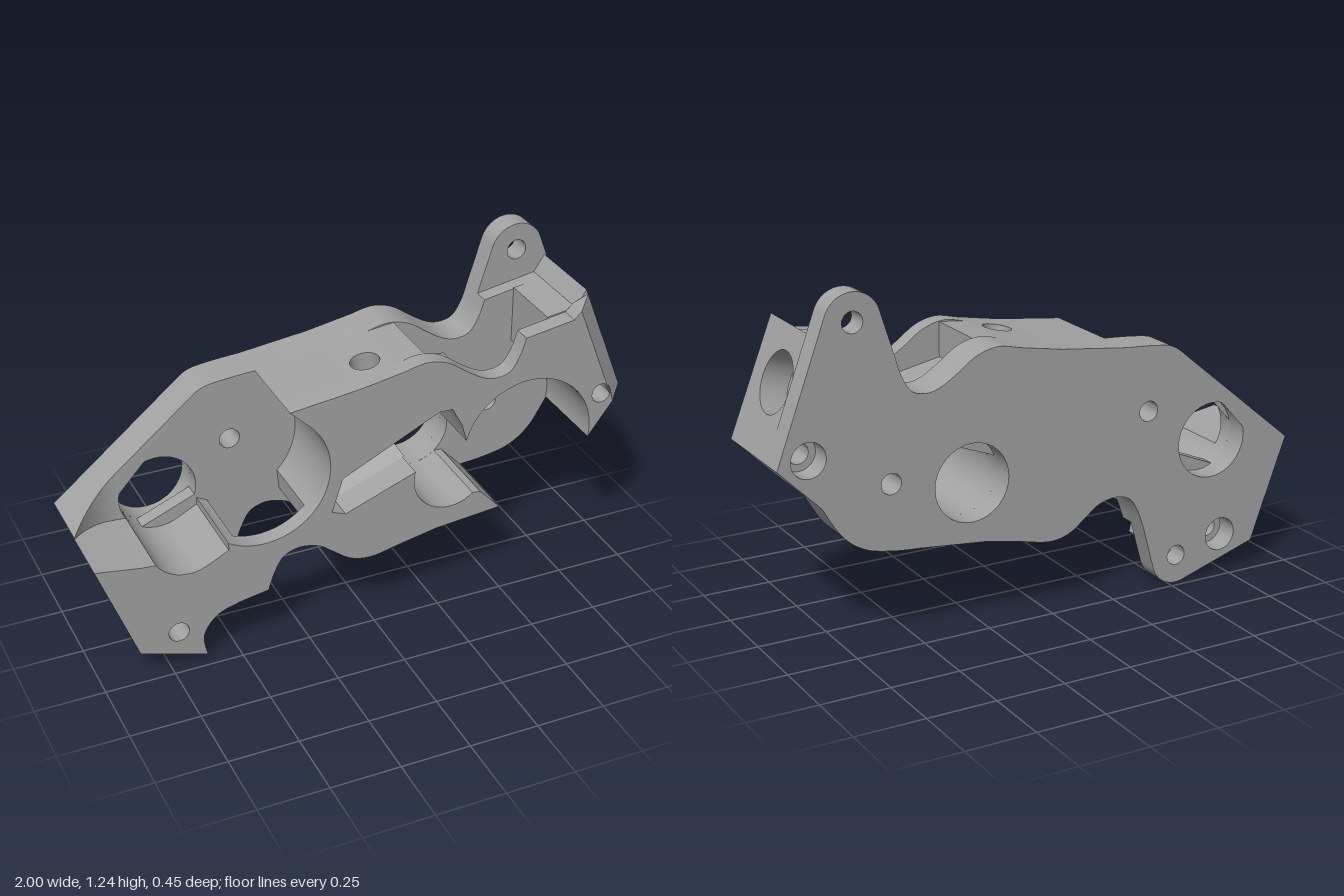
import * as THREE from 'three';
import { toCreasedNormals } from 'three/addons/utils/BufferGeometryUtils.js';

// depth levels from the back face to the front face
const BACK = -0.225, EAR = -0.14, FLOOR = -0.085, ROOF = 0.16, FRONT = 0.225;
const steel = new THREE.MeshStandardMaterial({ color: 0xa3a3a3 });
steel.name = 'grey metal';

const spline = (...p) => new THREE.SplineCurve(p.map(a => new THREE.Vector2(...a)))
  .getPoints(p.length * 5).map(v => [v.x, v.y]);
const arc = (x, y, r, a, b, n = 28) => Array.from({ length: n + 1 }, (_, i) => {
  const t = THREE.MathUtils.degToRad(a + (b - a) * i / n);
  return [x + r * Math.cos(t), y + r * Math.sin(t)];
});
const circle = (x, y, r) => arc(x, y, r, 0, 360, 32).slice(0, -1);
const vec = pts => pts.map(p => new THREE.Vector2(...p));

// frame of an outline edge: run along it, normal pointing into the body
function frame(p0, p1) {
  const run = new THREE.Vector3(p1[0] - p0[0], p1[1] - p0[1], 0);
  const length = run.length();
  run.normalize();
  return { run, length, inward: new THREE.Vector3(run.y, -run.x, 0), up: new THREE.Vector3(0, 0, 1) };
}
function along(p0, p1, s) {
  const { run } = frame(p0, p1);
  return [p0[0] + run.x * s, p0[1] + run.y * s];
}
function inset(p0, p1, d) {
  const { inward: n } = frame(p0, p1);
  return [p0, [p0[0] + n.x * d, p0[1] + n.y * d], [p1[0] + n.x * d, p1[1] + n.y * d], p1];
}

export function createModel() {
  const model = new THREE.Group();
  model.name = 'bracket';

  function add(name, geometry) {
    const mesh = new THREE.Mesh(toCreasedNormals(geometry, 0.5), steel);
    mesh.name = name;
    model.add(mesh);
    return mesh;
  }
  function solid(pts, holes, depth) {
    const shape = new THREE.Shape(vec(pts));
    for (const h of holes) shape.holes.push(new THREE.Path(vec(h)));
    return new THREE.ExtrudeGeometry(shape, { depth, bevelEnabled: false });
  }
  function layer(name, pts, z0, z1, holes = []) {
    add(name, solid(pts, holes, z1 - z0).translate(0, 0, z0));
  }
  // block let into an outline edge, drilled from outside in stages of [depth, radius]
  function drilled(name, p0, p1, z0, z1, zc, stages) {
    const f = frame(p0, p1);
    let start = 0;
    for (const [d, r] of stages) {
      const g = solid([[0, z0], [f.length, z0], [f.length, z1], [0, z1]], [circle(f.length / 2, zc, r)], d);
      g.translate(0, 0, start).applyMatrix4(new THREE.Matrix4().makeBasis(f.run, f.up, f.inward));
      add(name, g.translate(p0[0], p0[1], 0));
      start += d;
    }
  }
  // prism along an edge, section given as (inward, z)
  function prism(name, p0, p1, section) {
    const f = frame(p0, p1);
    const g = solid(section, [], f.length);
    g.applyMatrix4(new THREE.Matrix4().makeBasis(f.inward, f.up, f.run.clone().negate()));
    add(name, g.translate(p1[0], p1[1], 0));
  }

  // outline pieces, clockwise from the left tip
  const topLeft = [[-1, 0.48], ...spline([-0.56, 0.845], [-0.5, 0.89], [-0.43, 0.905], [-0.3, 0.915])];
  const topA = [-0.05, 0.945], topB = [0.12, 0.975];
  const topNeck = spline([0.12, 0.975], [0.2, 0.99], [0.28, 0.97], [0.36, 0.915], [0.42, 0.88],
    [0.47, 0.87], [0.52, 0.885], [0.555, 0.94], [0.575, 1.0]);
  const topEar = arc(0.725, 1.143, 0.1, 165, 20);
  const tip = [1, 0.69], tipTop = [0.84, 1.1];
  const lowRight = spline([0.85, 0.54], [0.78, 0.43], [0.7, 0.37], [0.6, 0.345], [0.5, 0.335]);
  const lowA = [0.25, 0.31], lowB = [0.1, 0.28];
  const lowNeck = spline([0.1, 0.28], [0, 0.26], [-0.08, 0.275], [-0.15, 0.325], [-0.2, 0.36],
    [-0.27, 0.375], [-0.33, 0.355], [-0.365, 0.3], [-0.39, 0.23]);
  const lowEar = arc(-0.53, 0.1, 0.1, -15, -106);
  const heel = [-0.86, 0.1], heelTop = [-1, 0.475];
  const earStep = spline([-0.5, 0.21], [-0.58, 0.18], [-0.63, 0.11], [-0.62, 0.026]);

  // drilled end blocks
  const rightEnd = [along(tip, tipTop, 0.38), along(tip, tipTop, 0.12)];
  const leftEnd = [along(heel, heelTop, 0.08), along(heel, heelTop, 0.31)];
  const rightCut = inset(...rightEnd, 0.15), leftCut = inset(...leftEnd, 0.13);

  // screw holes
  const hole = (x, y, r = 0.037) => circle(x, y, r);
  const pocketHoles = [hole(-0.4, 0.67), hole(0.6, 0.58)];
  const endHoles = [hole(0.89, 0.71), hole(-0.72, 0.15)];

  // back plate with two ears
  layer('backPlate',
    [...topLeft, topA, ...topNeck, ...topEar, tip, ...lowRight, lowA, ...lowNeck, ...lowEar, heel],
    BACK, EAR,
    [...pocketHoles, hole(0.725, 1.143), hole(-0.53, 0.105), hole(0.89, 0.71, 0.062), hole(-0.72, 0.15, 0.062),
      hole(-0.67, 0.52, 0.14), hole(0.3, 0.53, 0.14)]);

  // pocket floor, its large holes flattened on one side
  layer('pocketFloor',
    [...topLeft, topA, ...topNeck, [0.8, 1.04], tipTop, ...rightCut, tip, ...lowRight, lowA, ...lowNeck,
      ...earStep, heel, ...leftCut],
    EAR, FLOOR,
    [...pocketHoles, ...endHoles, arc(-0.67, 0.52, 0.14, -18, 243), arc(0.3, 0.53, 0.14, 159, 423)]);

  // pocket walls shared by the upper layers
  const leftHoleWall = [[-0.84, 0.45], ...arc(-0.67, 0.52, 0.14, 212, 300, 12), [-0.53, 0.435]];
  const leftPocket = (a, b) => arc(-0.4, 0.67, 0.245, a, b);
  const rightPocket = (a, b) => arc(0.6, 0.58, 0.25, a, b);
  const slot = [[0.34, 0.71], [0.3, 0.785], [0.25, 0.785], [-0.11, 0.61], [-0.15, 0.485], [-0.1, 0.465],
    ...arc(0.3, 0.53, 0.14, 165, 310), [0.42, 0.42], [0.5, 0.335]];

  // walls between floor and front skin, split by the two neck windows
  layer('middleBlock',
    [[-0.3, 0.915], ...inset(topA, topB, 0.13), [0.22, 0.987], [0.22, 0.86], [0.42, 0.82],
      ...rightPocket(135, 165), ...slot, ...inset(lowA, lowB, 0.08), [0, 0.26], [-0.02, 0.262],
      [-0.02, 0.38], [-0.22, 0.42], ...leftPocket(-45, 45)],
    FLOOR, ROOF);
  layer('rightEndBlock',
    [...rightPocket(-9, 69), [0.69, 1.025], [0.8, 1.04], tipTop, ...rightCut, tip, [0.85, 0.54]],
    FLOOR, ROOF, [endHoles[0]]);
  layer('leftEndBlock',
    [heelTop, ...leftHoleWall, ...leftPocket(238, 248), [-0.49, 0.215], ...earStep, heel, ...leftCut],
    FLOOR, ROOF, [endHoles[1]]);

  // front skin bridging the necks
  const chamfer = inset(along(tip, tipTop, 0.42), tip, 0.065);
  layer('frontSkin',
    [heelTop, ...leftHoleWall, ...leftPocket(238, 405), [-0.3, 0.915], topA, ...topNeck, [0.76, 1.03],
      chamfer[1], chamfer[2], ...rightPocket(-9, 165), ...slot, lowA, ...lowNeck, ...earStep, heel],
    ROOF, FRONT, endHoles);
  prism('endChamfer', along(tip, tipTop, 0.42), tip, [[0, ROOF], [0.065, ROOF], [0.065, FRONT]]);

  // bores in the ends and cross holes in the middle block
  drilled('rightBore', ...rightEnd, EAR, ROOF, -0.03, [[0.1, 0.108], [0.05, 0.055]]);
  drilled('leftBore', ...leftEnd, EAR, ROOF, -0.03, [[0.08, 0.105], [0.05, 0.055]]);
  drilled('topHole', topA, topB, FLOOR, ROOF, 0.08, [[0.13, 0.052]]);
  drilled('bottomHole', lowA, lowB, FLOOR, ROOF, 0.09, [[0.08, 0.052]]);

  // sloping sides of the central slot
  prism('slotUpperSlope', [-0.11, 0.61], [0.25, 0.785], [[0, FLOOR], [0.075, FLOOR], [0, FRONT]]);
  prism('slotLowerSlope', [0.17, 0.57], [-0.1, 0.465], [[0, FLOOR], [0.06, FLOOR], [0, 0.12]]);

  // floor sweeping up to the left tip
  const pos = [], idx = [], n = 10;
  for (let i = 0; i <= n; i++) {
    const t = i / n, x = -0.82 - 0.18 * t;
    const yTop = 0.48 + (x + 1) * 0.8295, yLow = 0.475 - (x + 1) * 0.156;
    const z = FLOOR + 0.095 * t * t;
    pos.push(x, yTop, FLOOR, x, yTop, z, x, yLow, z);
    if (i < n) for (let j = 0; j < 2; j++) {
      const a = i * 3 + j;
      idx.push(a, a + 3, a + 1, a + 3, a + 4, a + 1);
    }
  }
  const sweep = new THREE.BufferGeometry();
  sweep.setAttribute('position', new THREE.Float32BufferAttribute(pos, 3));
  sweep.setIndex(idx);
  add('tipSweep', sweep);

  return model;
}
